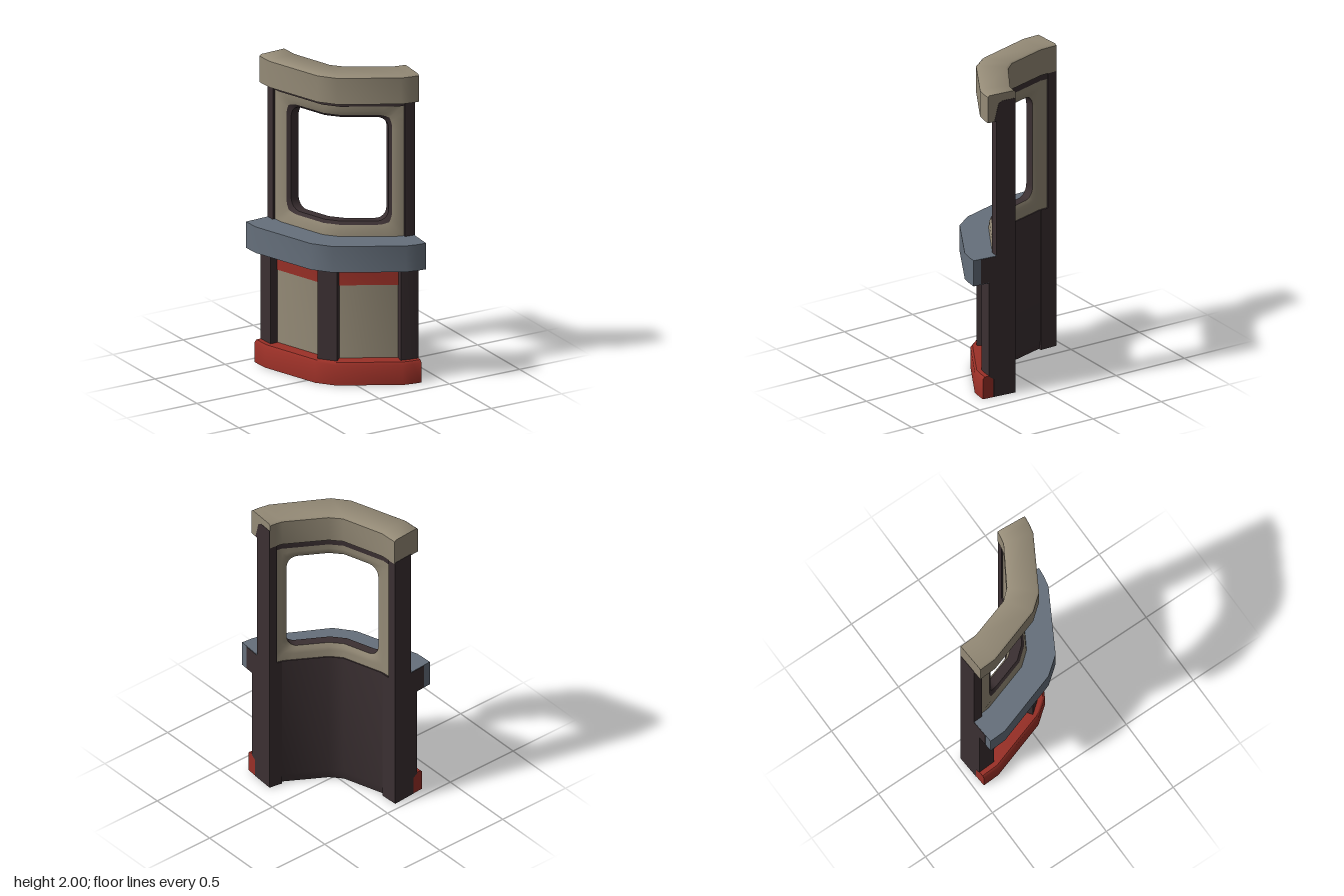
import * as THREE from 'three';
import { toCreasedNormals } from 'three/addons/utils/BufferGeometryUtils.js';

// Plan of the bent wall: [outer x, outer z, inner x, inner z] at each bend
const PLAN = [
  [-0.29, -0.443, -0.095, -0.455],
  [-0.285, -0.33, -0.09, -0.34],
  [-0.165, 0.04, -0.005, -0.07],
  [-0.085, 0.14, 0.055, -0.003],
  [0.255, 0.335, 0.3, 0.145],
  [0.315, 0.348, 0.345, 0.155],
  [0.37, 0.354, 0.385, 0.16],
];
const DEPTH = 0.195;

// Distance along the wall's middle line at each bend
const U = [0];
for (let i = 1; i < PLAN.length; i++) {
  const [a, b] = [PLAN[i - 1], PLAN[i]];
  U.push(U[i - 1] + Math.hypot(b[0] + b[2] - a[0] - a[2], b[1] + b[3] - a[1] - a[3]) / 2);
}
const END = U[U.length - 1];

// Point at distance u along the wall, depth d from its outer face, height y
function at(u, d, y) {
  let i = 0;
  while (i < PLAN.length - 2 && u > U[i + 1]) i++;
  const t = (u - U[i]) / (U[i + 1] - U[i]);
  const p = PLAN[i].map((v, k) => v + (PLAN[i + 1][k] - v) * t);
  const s = d / DEPTH;
  return [p[0] + (p[2] - p[0]) * s, y, p[1] + (p[3] - p[1]) * s];
}

function geometry(positions, crease = 0.85) {
  const g = new THREE.BufferGeometry();
  g.setAttribute('position', new THREE.Float32BufferAttribute(positions, 3));
  return toCreasedNormals(g, crease);
}

const quad = (out, a, b, c, d) => out.push(...a, ...b, ...c, ...a, ...c, ...d);

// Closed (depth, height) profile carried along the wall from u0 to u1
function sweep(u0, u1, profile) {
  const pts = profile.map(([d, y]) => new THREE.Vector2(d, y));
  if (THREE.ShapeUtils.isClockWise(pts)) pts.reverse();
  const stops = [u0, ...U.filter((u) => u > u0 + 1e-4 && u < u1 - 1e-4), u1];
  const out = [];
  for (let s = 0; s < stops.length - 1; s++) {
    pts.forEach((a, i) => {
      const b = pts[(i + 1) % pts.length];
      quad(out, at(stops[s], a.x, a.y), at(stops[s], b.x, b.y),
        at(stops[s + 1], b.x, b.y), at(stops[s + 1], a.x, a.y));
    });
  }
  for (const [i, j, k] of THREE.ShapeUtils.triangulateShape(pts, [])) {
    for (const n of [i, j, k]) out.push(...at(u1, pts[n].x, pts[n].y));
    for (const n of [k, j, i]) out.push(...at(u0, pts[n].x, pts[n].y));
  }
  return geometry(out);
}

const rect = (d0, d1, y0, y1) => [[d0, y0], [d1, y0], [d1, y1], [d0, y1]];

// Matching outlines: a rounded opening and the square border around it
function openingOutlines(hole, border, r) {
  const inner = [], outer = [], steps = 6;
  const corners = [[1, -1], [1, 1], [-1, 1], [-1, -1]];
  corners.forEach(([su, sy], c) => {
    const cu = su > 0 ? hole.u1 - r : hole.u0 + r;
    const cy = sy > 0 ? hole.y1 - r : hole.y0 + r;
    const bu = su > 0 ? border.u1 : border.u0;
    const by = sy > 0 ? border.y1 : border.y0;
    for (let k = 0; k <= steps; k++) {
      const angle = (c - 1 + k / steps) * Math.PI / 2;
      inner.push([cu + r * Math.cos(angle), cy + r * Math.sin(angle)]);
      // Share of the way along the horizontal and vertical border edges
      const t = c % 2 ? k / steps : 1 - k / steps;
      const f = Math.min(1, t * 2), h = Math.max(0, t * 2 - 1);
      outer.push([bu + (cu - bu) * h, cy + (by - cy) * f]);
    }
    // Extra points where the top and bottom edges cross the bends
    if (c === 1) for (const u of [U[3], U[2]]) { inner.push([u, hole.y1]); outer.push([u, border.y1]); }
    if (c === 3) for (const u of [U[2], U[3]]) { inner.push([u, hole.y0]); outer.push([u, border.y0]); }
  });
  return { inner, outer };
}

export function createModel() {
  const group = new THREE.Group();
  const material = (name, color) => {
    const m = new THREE.MeshStandardMaterial({ color });
    m.name = name;
    return m;
  };
  const beige = material('beige', 0x958b77);
  const dark = material('dark brown', 0x3b3032);
  const grey = material('blue grey', 0x66707c);
  const red = material('red', 0x9a3027);
  const add = (name, geo, mat) => {
    const mesh = new THREE.Mesh(geo, mat);
    mesh.name = name;
    group.add(mesh);
  };

  // Lower wall: dark inner skin, beige outer panel with a red band
  add('innerWall', sweep(0, END, [[0.15, 0.004], [0.175, 0.004], [0.19, 0.07], [0.19, 0.928], [0.07, 0.928], [0.07, 0.76], [0.15, 0.76]]), dark);
  add('outerPanel', sweep(0.002, END - 0.002, rect(0.06, 0.152, 0.002, 0.77)), beige);
  add('panelBand', sweep(U[1], U[4], rect(0.055, 0.062, 0.62, 0.765)), red);
  add('cornerPilaster', sweep(U[2], U[3], rect(0.002, 0.07, 0.1, 0.77)), dark);

  // Base skirting, sill ledge and top rail
  add('base', sweep(0, END, [[-0.035, 0], [0.062, 0], [0.062, 0.145], [-0.022, 0.145], [-0.035, 0.13]]), red);
  add('sill', sweep(0, END, rect(-0.1, 0.09, 0.76, 0.93)), grey);
  add('topRail', sweep(0, END, [[0, 1.82], [DEPTH, 1.82], [DEPTH, 1.99], [0.183, 2], [0.012, 2], [0, 1.99]]), beige);
  add('windowHeader', sweep(0.01, END - 0.01, rect(0.068, 0.186, 1.78, 1.825)), dark);

  // End piers: broad below the sill, narrow beside the window
  const lowerPier = [[0.04, 0.001], [0.193, 0.001], [0.193, 0.927], [-0.05, 0.927], [-0.05, 0.765],
    [0.008, 0.765], [0.008, 0.14], [0.04, 0.12]];
  const shortPier = rect(0.06, 0.193, 0.92, 1.83);
  const tallPier = [[0.06, 0.92], [0.193, 0.92], [0.193, 1.95], [0.1, 1.95], [0.075, 1.935], [0.045, 1.825], [0.06, 1.82]];
  add('rightLowerPier', sweep(-0.002, U[1], lowerPier), dark);
  add('leftLowerPier', sweep(U[4], END + 0.002, lowerPier), dark);
  add('rightUpperPier', sweep(-0.002, 0.06, shortPier), dark);
  add('leftUpperPier', sweep(END - 0.06, END + 0.002, tallPier), dark);

  // Window frame: rings from the front border, through the opening, to the back border
  const hole = { u0: U[1] + 0.06, u1: U[4] - 0.045, y0: 1.02, y1: 1.7 };
  const border = { u0: 0.058, u1: END - 0.058, y0: 0.925, y1: 1.792 };
  const { inner, outer } = openingOutlines(hole, border, 0.075);
  const ring = (t, d) => outer.map(([u, y], i) =>
    at(u + (inner[i][0] - u) * t, d, y + (inner[i][1] - y) * t));
  const band = (rings) => {
    const out = [];
    for (let r = 0; r < rings.length - 1; r++) {
      const [a, b] = [rings[r], rings[r + 1]];
      a.forEach((p, i) => {
        const j = (i + 1) % a.length;
        quad(out, p, a[j], b[j], b[i]);
      });
    }
    return geometry(out, 0.6);
  };
  add('windowFrameFront', band([ring(0, 0.075), ring(0.5, 0.08), ring(0.8, 0.09)]), beige);
  add('windowReveal', band([ring(0.8, 0.09), ring(1, 0.105), ring(1, 0.165)]), dark);
  add('windowFrameBack', band([ring(1, 0.165), ring(0.75, 0.178), ring(0.5, 0.181), ring(0, 0.183)]), beige);

  return group;
}
